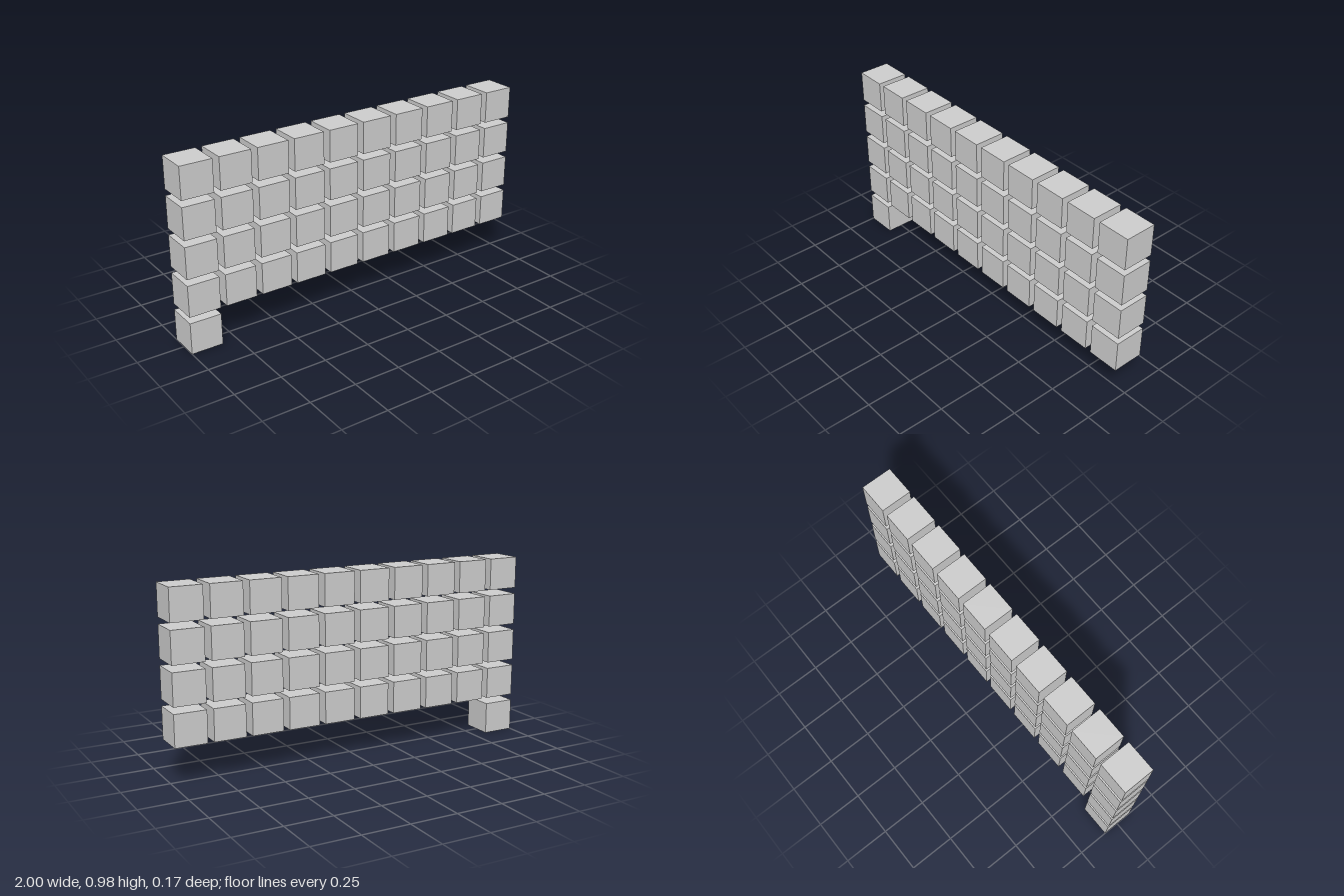
import * as THREE from 'three';

const COLUMNS = 10;
const FULL_ROWS = 4;
const PITCH_RATIO = 1.2; // spacing between cube centres, in cube sizes
const SIZE = 2 / ((COLUMNS - 1) * PITCH_RATIO + 1);
const PITCH = SIZE * PITCH_RATIO;

export function createModel() {
  const model = new THREE.Group();
  model.name = 'cubeWall';

  const geometry = new THREE.BoxGeometry(SIZE, SIZE, SIZE);
  const material = new THREE.MeshStandardMaterial({ color: 0xcccccc, flatShading: true });

  // Row 0 is the bottom row
  function addRow(row, count, name) {
    const group = new THREE.Group();
    group.name = name;
    group.position.y = SIZE / 2 + row * PITCH;
    for (let column = 0; column < count; column++) {
      const cube = new THREE.Mesh(geometry, material);
      cube.name = `cube${column + 1}`;
      cube.position.x = -1 + SIZE / 2 + column * PITCH;
      group.add(cube);
    }
    model.add(group);
  }

  // Single cube under the right end
  addRow(0, 1, 'bottomRow');

  // Full rows of the wall
  for (let row = 1; row <= FULL_ROWS; row++) addRow(row, COLUMNS, `fullRow${row}`);

  return model;
}
